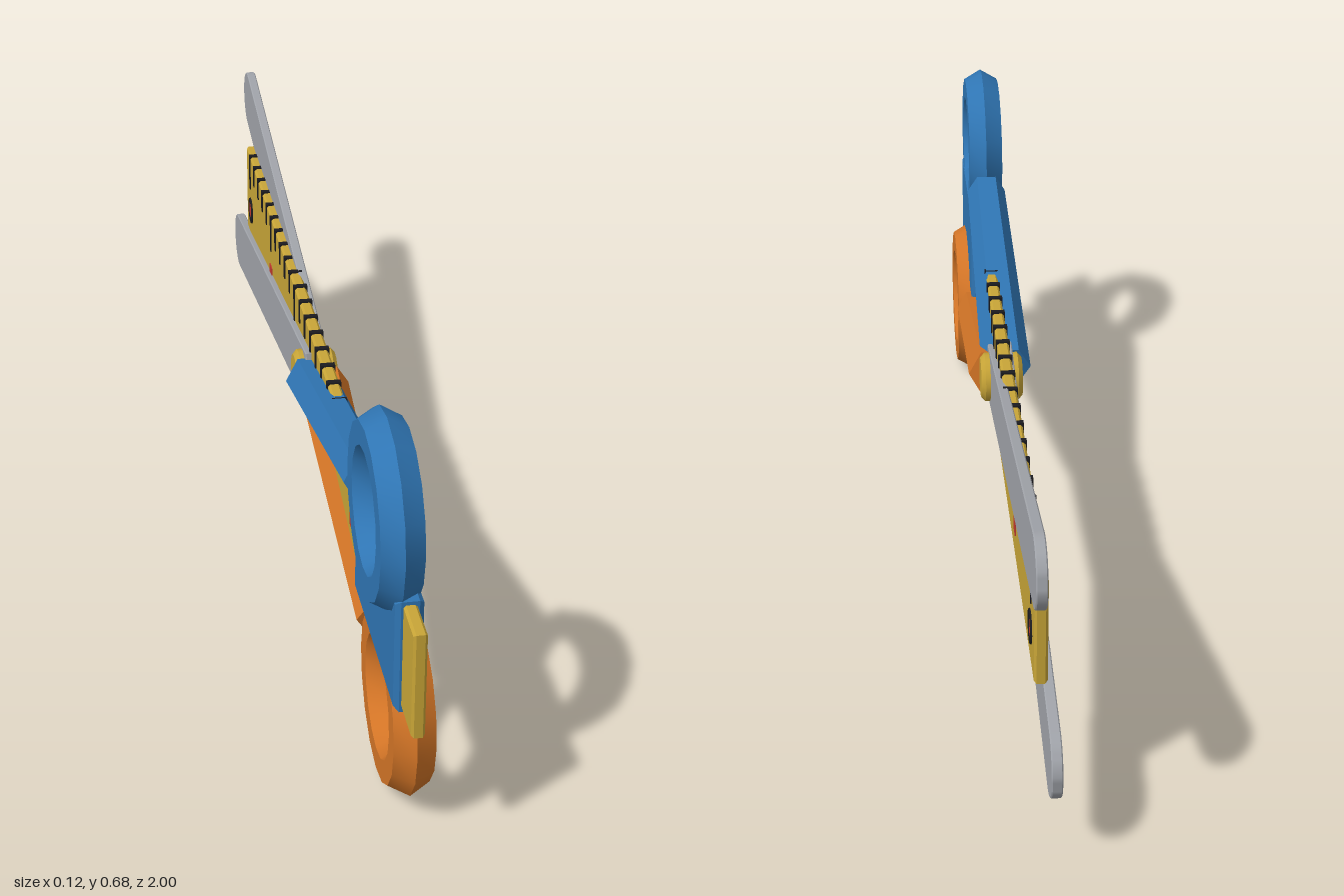
import * as THREE from 'three';
import { toCreasedNormals } from 'three/addons/utils/BufferGeometryUtils.js';

const MID = 0.3435; // height of the pivot axis

function makeMaterial(name, color) {
  const m = new THREE.MeshStandardMaterial({ color });
  m.name = name;
  return m;
}

function addMesh(parent, name, geometry, material, x = 0, y = 0, z = 0) {
  const mesh = new THREE.Mesh(toCreasedNormals(geometry, 0.6), material);
  mesh.name = name;
  mesh.position.set(x, y, z);
  parent.add(mesh);
  return mesh;
}

// Extrudes a (z, y) outline across x, centred, with chamfered edges
function plate(shape, thickness, bevel) {
  const g = new THREE.ExtrudeGeometry(shape, {
    depth: thickness - 2 * bevel, steps: 1, curveSegments: 10,
    bevelEnabled: bevel > 0, bevelThickness: bevel, bevelSize: bevel,
    bevelOffset: -bevel, bevelSegments: 1,
  });
  g.translate(0, 0, bevel - thickness / 2);
  return g.rotateY(-Math.PI / 2);
}

function rectShape(z0, z1, y0, y1) {
  return new THREE.Shape([[z0, y0], [z1, y0], [z1, y1], [z0, y1]].map(p => new THREE.Vector2(...p)));
}

// One scissor half: finger ring low at the front, blade rising to the back
function scissorHalf(name, gripMat, bladeMat) {
  const half = new THREE.Group();
  half.name = name;
  half.position.y = MID;

  const ring = new THREE.TorusGeometry(0.123, 0.0395, 6, 16).rotateY(-Math.PI / 2);
  addMesh(half, 'fingerRing', ring, gripMat, 0.013, -0.179, 0.78);

  // Six-sided arm with a ridge along each side
  const a = new THREE.Vector2(0.05, -0.006), b = new THREE.Vector2(0.625, -0.136);
  const d = b.clone().sub(a);
  const arm = new THREE.CylinderGeometry(0.039, 0.047, d.length(), 6)
    .rotateY(Math.PI / 6).rotateX(Math.atan2(d.x, d.y));
  addMesh(half, 'handleArm', arm, gripMat, 0.012, (a.y + b.y) / 2, (a.x + b.x) / 2);

  // Straight blade with a round tip
  const r = 0.06, len = 1.016;
  const s = new THREE.Shape();
  s.moveTo(0, -r + 0.006);
  s.lineTo(0, r - 0.006);
  s.lineTo(-len, r);
  s.absarc(-len, 0, r, Math.PI / 2, Math.PI * 1.5, false);
  s.closePath();
  const blade = addMesh(half, 'blade', plate(s, 0.018, 0.002), bladeMat, 0.013, -0.007, 0.06);
  blade.rotation.x = 0.177;
  return half;
}

export function createModel() {
  const blue = makeMaterial('blue plastic', 0x2f75b3);
  const orange = makeMaterial('orange plastic', 0xd27426);
  const yellow = makeMaterial('ruler yellow', 0xc8a537);
  const grey = makeMaterial('blade grey', 0xa0a3a9);
  const dark = makeMaterial('mark black', 0x1b1b1f);
  const red = makeMaterial('mark red', 0xc23a30);

  const model = new THREE.Group();
  model.name = 'scissorsWithRuler';

  // The second half is the first turned half way round the long axis
  model.add(scissorHalf('orangeHalf', orange, grey));
  const blueHalf = scissorHalf('blueHalf', blue, grey);
  blueHalf.rotation.z = Math.PI;
  model.add(blueHalf);

  // Pivot with chamfered caps
  const pivotProfile = [[0, -0.039], [0.037, -0.039], [0.046, -0.031], [0.046, 0.031], [0.037, 0.039], [0, 0.039]]
    .map(p => new THREE.Vector2(...p));
  addMesh(model, 'pivot', new THREE.LatheGeometry(pivotProfile, 16).rotateZ(Math.PI / 2), yellow, 0, 0.346, 0.018);

  // Ruler and its sleeve
  addMesh(model, 'ruler', plate(rectShape(-0.852, 1, 0.25, 0.44), 0.022, 0.004), yellow);
  addMesh(model, 'sleeve', plate(rectShape(0.575, 0.922, 0.241, 0.446), 0.045, 0.008), blue);

  // Graduations wrap over the top edge; every fifth is long with a red square
  const start = -0.795, step = 0.0641;
  for (let i = 0; i <= 20; i++) {
    const z = start + i * step, major = i % 5 === 0;
    const h = major ? 0.078 : 0.046;
    addMesh(model, 'tick', new THREE.BoxGeometry(0.026, h, 0.011), dark, 0, 0.443 - h / 2, z);
    if (major) {
      for (const side of [-1, 1]) {
        addMesh(model, 'redMark', new THREE.BoxGeometry(0.005, 0.03, 0.03), red, side * 0.0105, 0.315, z);
      }
    }
  }

  // Dark eyelet near the end of the ruler
  addMesh(model, 'eyelet', new THREE.TorusGeometry(0.023, 0.01, 6, 14).rotateY(Math.PI / 2).scale(1.6, 1, 1),
    dark, 0, 0.315, -0.787);

  return model;
}
